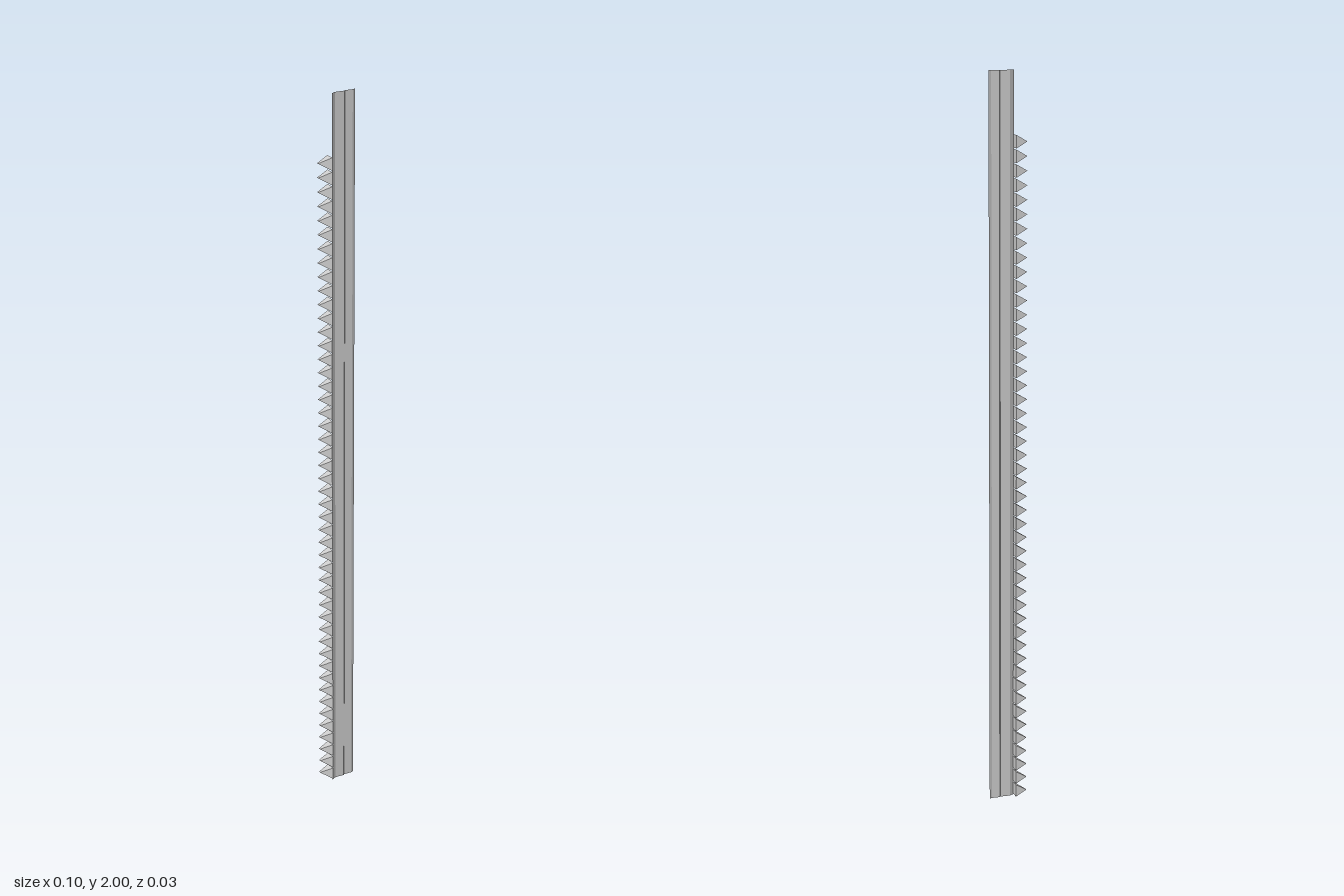
import * as THREE from 'three';

const HEIGHT = 2;
const material = new THREE.MeshStandardMaterial({ color: 0xcccccc, flatShading: true, side: THREE.DoubleSide });

// Folded sheet: an [x, z] section drawn up the full height
function foldedStrip(section) {
  const positions = [];
  for (let i = 0; i < section.length - 1; i++) {
    const [x0, z0] = section[i];
    const [x1, z1] = section[i + 1];
    positions.push(x0, 0, z0, x1, 0, z1, x1, HEIGHT, z1);
    positions.push(x0, 0, z0, x1, HEIGHT, z1, x0, HEIGHT, z0);
  }
  const geometry = new THREE.BufferGeometry();
  geometry.setAttribute('position', new THREE.Float32BufferAttribute(positions, 3));
  geometry.computeVertexNormals();
  return geometry;
}

// Triangular tooth whose front face slopes back towards the tip
function toothGeometry(baseX, tipX, halfHeight, back, baseFront, tipFront) {
  const shape = new THREE.Shape();
  shape.moveTo(baseX, -halfHeight);
  shape.lineTo(baseX, halfHeight);
  shape.lineTo(tipX, 0);
  shape.closePath();
  const geometry = new THREE.ExtrudeGeometry(shape, { depth: 1, bevelEnabled: false });
  const p = geometry.attributes.position;
  for (let i = 0; i < p.count; i++) {
    const t = (p.getX(i) - baseX) / (tipX - baseX);
    const front = THREE.MathUtils.lerp(baseFront, tipFront, t);
    p.setZ(i, p.getZ(i) > 0.5 ? front : back);
  }
  geometry.computeVertexNormals();
  return geometry;
}

export function createModel() {
  const model = new THREE.Group();
  model.name = 'toothedStrip';

  // Strip with an angled left edge, a shallow step and a turned-back right lip
  const strip = new THREE.Mesh(foldedStrip([
    [-0.023, 0.0125], [-0.01, 0.005], [0.017, 0.005],
    [0.02, 0.002], [0.042, 0.002], [0.05, -0.001],
  ]), material);
  strip.name = 'strip';
  model.add(strip);

  // Row of teeth along the left edge, stopping short of the top
  const teeth = new THREE.Group();
  teeth.name = 'teeth';
  const geometry = toothGeometry(-0.022, -0.052, 0.0175, -0.0145, 0.0125, -0.009);
  const count = 48, first = 0.02, last = 1.815;
  for (let i = 0; i < count; i++) {
    const tooth = new THREE.Mesh(geometry, material);
    tooth.name = 'tooth';
    tooth.position.y = first + (last - first) * i / (count - 1);
    teeth.add(tooth);
  }
  model.add(teeth);
  return model;
}
